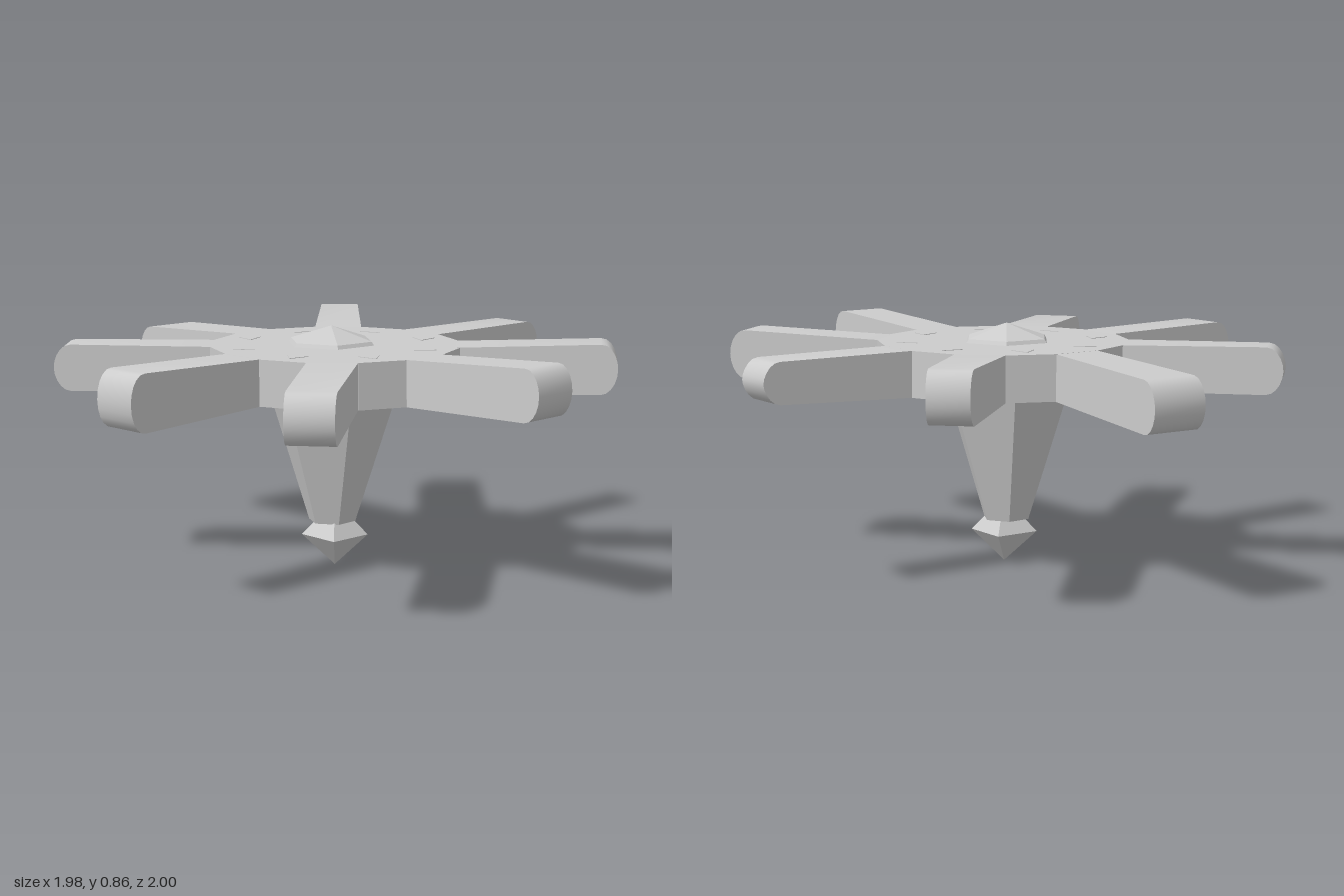
import * as THREE from 'three';
import { toCreasedNormals } from 'three/addons/utils/BufferGeometryUtils.js';

const HUB_LOW = 0.637, HUB_HIGH = 0.797;

// tip centre x, z, half width at the tip, bottom and top heights at the tip
const ARMS = [
  ['armLeft', 0.99, 0.005, 0.075, 0.655, 0.795],
  ['armFrontLeft', 0.66, 0.735, 0.081, 0.64, 0.818],
  ['armFront', 0.02, 0.995, 0.085, 0.65, 0.828],
  ['armFrontRight', -0.738, 0.658, 0.08, 0.612, 0.785],
  ['armRight', -0.99, 0.015, 0.085, 0.61, 0.808],
  ['armBackRight', -0.69, -0.705, 0.069, 0.635, 0.80],
  ['armBack', 0.02, -1.0, 0.1, 0.592, 0.768],
  ['armBackLeft', 0.70, -0.71, 0.07, 0.64, 0.82],
];

// Arm: side profile with a rounded tip, extruded across and tapered in width
function armGeometry(length, tipHalf, low, high) {
  const mid = (low + high) / 2, r = 0.06;
  const at = (t, a, b) => a + (b - a) * t;
  const shoulder = (length - r) / length;
  const s = new THREE.Shape();
  s.moveTo(0, HUB_LOW);
  s.lineTo(length - r, at(shoulder, HUB_LOW, low));
  s.bezierCurveTo(length - 0.025, low, length, low + 0.045, length, mid);
  s.bezierCurveTo(length, high - 0.045, length - 0.025, high, length - r, at(shoulder, HUB_HIGH, high));
  s.lineTo(0, HUB_HIGH);
  s.closePath();
  const g = new THREE.ExtrudeGeometry(s, { depth: 2, bevelEnabled: false, curveSegments: 5 });
  g.translate(0, 0, -1);
  const p = g.attributes.position;
  for (let i = 0; i < p.count; i++) {
    p.setZ(i, p.getZ(i) * at(p.getX(i) / length, 0.086, tipHalf));
  }
  return toCreasedNormals(g, 0.6);
}

// Flat-faced prism or frustum between two heights
function frustum(rTop, rBottom, low, high, sides, turn) {
  const g = new THREE.CylinderGeometry(rTop, rBottom, high - low, sides);
  g.rotateY(turn).translate(0, (low + high) / 2, 0);
  return toCreasedNormals(g, 0.1);
}

export function createModel() {
  const model = new THREE.Group();
  model.name = 'spokedSpinner';
  const grey = new THREE.MeshStandardMaterial({ color: 0xcccccc });
  grey.name = 'lightGrey';
  const add = (name, geometry, x = 0, z = 0) => {
    const mesh = new THREE.Mesh(geometry, grey);
    mesh.name = name;
    mesh.position.set(x, 0, z);
    model.add(mesh);
    return mesh;
  };

  // Hub with a shallow round plate underneath
  add('hub', frustum(0.443, 0.443, HUB_LOW, HUB_HIGH, 16, Math.PI / 16));
  add('underPlate', frustum(0.335, 0.335, 0.63, 0.65, 40, 0));

  // Eight slightly irregular arms
  ARMS.forEach(([name, x, z, half, low, high], i) => {
    const a = i * Math.PI / 4;
    const rx = Math.cos(a) * 0.425, rz = Math.sin(a) * 0.425;
    const arm = add(name, armGeometry(Math.hypot(x - rx, z - rz), half, low, high), rx, rz);
    arm.rotation.y = -Math.atan2(z - rz, x - rx);
  });

  // Small triangular inlays around the hub top
  for (let i = 0; i < 8; i++) {
    const a = (i + 0.5) * Math.PI / 4;
    add('inlay', frustum(0.045, 0.045, 0.794, 0.799, 3, -a + Math.PI / 2),
      Math.cos(a) * 0.335, Math.sin(a) * 0.335);
  }

  // Faceted cap on top
  const capTurn = Math.PI / 2 - 0.09;
  add('capRim', frustum(0.153, 0.17, 0.785, 0.81, 6, capTurn), 0, -0.022);
  add('capPeak', frustum(0, 0.153, 0.81, 0.86, 6, capTurn), 0, -0.022);

  // Tapering six-sided stem and its pointed foot
  add('stem', frustum(0.238, 0.085, 0.16, 0.64, 6, Math.PI / 2 + 0.05), -0.005, -0.012);
  add('footTop', frustum(0.062, 0.118, 0.11, 0.168, 4, Math.PI / 4), -0.008, 0.005);
  add('footPoint', frustum(0.118, 0, 0, 0.11, 4, Math.PI / 4), -0.008, 0.005);
  return model;
}
